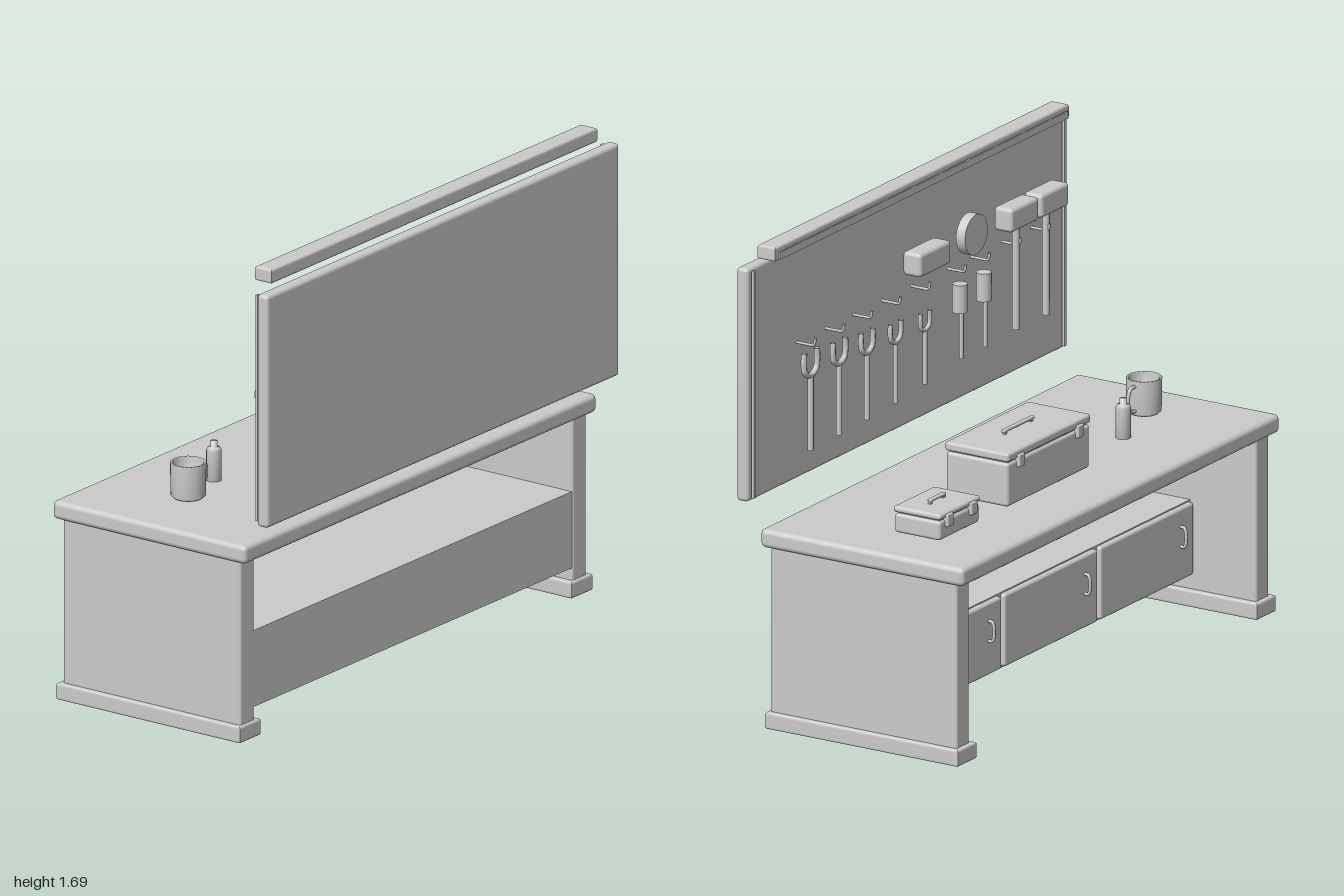
import * as THREE from 'three';
import { RoundedBoxGeometry } from 'three/addons/geometries/RoundedBoxGeometry.js';

const material = new THREE.MeshStandardMaterial({ color: 0xcccccc });
const twoSided = new THREE.MeshStandardMaterial({ color: 0xcccccc, side: THREE.DoubleSide });
const v = (x, y, z) => new THREE.Vector3(x, y, z);

// Rectangular outline with half width w and half depth d
const rect = (target, w, d) => {
  target.moveTo(-w, -d);
  target.lineTo(w, -d);
  target.lineTo(w, d);
  target.lineTo(-w, d);
  target.closePath();
  return target;
};

// Lying frame with softened edges: half width, half depth, height and wall thickness
const frameGeometry = (w, d, h, wall) => {
  const b = 0.008;
  const shape = rect(new THREE.Shape(), w - b, d - b);
  shape.holes.push(rect(new THREE.Path(), w - wall, d - wall));
  const geometry = new THREE.ExtrudeGeometry(shape, {
    depth: h - 2 * b, bevelThickness: b, bevelSize: b, bevelSegments: 3,
  });
  return geometry.rotateX(-Math.PI / 2).translate(0, b, 0);
};

export function createModel() {
  const model = new THREE.Group();

  const add = (parent, name, geometry, x = 0, y = 0, z = 0, mat = material) => {
    const mesh = new THREE.Mesh(geometry, mat);
    mesh.name = name;
    mesh.position.set(x, y, z);
    parent.add(mesh);
    return mesh;
  };
  const group = (name, x = 0, y = 0, z = 0) => {
    const g = new THREE.Group();
    g.name = name;
    g.position.set(x, y, z);
    model.add(g);
    return g;
  };
  // Box given by its limits on each axis, with optional rounded edges
  const box = (parent, name, [x0, x1], [y0, y1], [z0, z1], r = 0) => {
    const size = [x1 - x0, y1 - y0, z1 - z0];
    const geometry = r ? new RoundedBoxGeometry(...size, 2, r) : new THREE.BoxGeometry(...size);
    return add(parent, name, geometry, (x0 + x1) / 2, (y0 + y1) / 2, (z0 + z1) / 2);
  };
  const rod = (parent, name, points, r, segments = 20) =>
    add(parent, name, new THREE.TubeGeometry(new THREE.CatmullRomCurve3(points), segments, r, 8), 0, 0, 0, twoSided);
  const cylinder = (parent, name, r, y0, y1, z = 0, sides = 16) =>
    add(parent, name, new THREE.CylinderGeometry(r, r, y1 - y0, sides), 0, (y0 + y1) / 2, z);

  // Bench: top, side panels and hollow feet
  box(model, 'benchTop', [-1, 1], [0.647, 0.713], [-0.455, 0.362], 0.018);
  const footGeometry = frameGeometry(0.059, 0.388, 0.06, 0.035);
  for (const s of [-1, 1]) {
    const side = group(s > 0 ? 'leftSide' : 'rightSide', s * 0.942);
    box(side, 'sidePanel', [-0.041, 0.041], [0.03, 0.652], [-0.42, 0.33], 0.01);
    add(side, 'foot', footGeometry, s * -0.001, 0.003, -0.0475);
  }

  // Drawer cabinet between the sides, open below
  const cabinet = group('cabinet');
  box(cabinet, 'cabinetTop', [-0.906, 0.906], [0.371, 0.381], [-0.155, 0.327]);
  box(cabinet, 'cabinetFront', [-0.906, 0.906], [0.107, 0.376], [0.317, 0.327]);
  box(cabinet, 'drawerBacking', [-0.906, 0.906], [0.112, 0.376], [-0.155, -0.145]);
  for (let i = -1; i <= 1; i++) {
    const drawer = group('drawer', i * 0.604, 0.2465, -0.158);
    box(drawer, 'drawerFront', [-0.293, 0.293], [-0.13, 0.13], [-0.015, 0.015], 0.011);
    rod(drawer, 'drawerHandle', [
      v(-0.21, -0.005, -0.005), v(-0.21, -0.005, -0.03), v(-0.21, 0.062, -0.03), v(-0.21, 0.062, -0.005),
    ], 0.006);
  }

  // Tool board with an upright strip near each end
  box(model, 'toolBoard', [-1, 1], [0.797, 1.63], [0.41, 0.457], 0.014);
  for (const s of [-1, 1]) {
    box(model, 'boardStrip', [s * 0.977 - 0.007, s * 0.977 + 0.007], [0.81, 1.62], [0.395, 0.404]);
  }

  // Lamp bar above the board: hollow below, with a strip light inside
  const lamp = group('lampBar');
  add(lamp, 'lampFrame', frameGeometry(0.924, 0.035, 0.051, 0.012), 0, 1.646, 0.383);
  box(lamp, 'lampCover', [-0.915, 0.915], [1.682, 1.6965], [0.356, 0.41]);
  box(lamp, 'lampStrip', [-0.89, 0.89], [1.655, 1.684], [0.373, 0.393]);
  box(lamp, 'lampLip', [-0.905, 0.905], [1.652, 1.678], [0.338, 0.344]);

  // Row of hooks
  for (const x of [0.69, 0.51, 0.335, 0.155, -0.03, -0.255, -0.405, -0.6, -0.783]) {
    const hook = group('hook', x);
    rod(hook, 'hookWire', [v(0, 1.285, 0.412), v(0, 1.285, 0.365), v(0, 1.287, 0.342), v(0, 1.312, 0.335)], 0.005);
  }

  // Open-ended wrenches, getting smaller along the row
  [[0.69, 1.265, 0.91], [0.51, 1.253, 0.915], [0.335, 1.237, 0.92], [0.155, 1.217, 0.93], [-0.03, 1.202, 0.945]]
    .forEach(([x, top, bottom]) => {
      const wrench = group('wrench', x);
      const k = (top - bottom) / 0.355;
      const w = 0.042 * k;
      const jaw = [v(-w * 0.95, top, 0.355), v(-w, top - 0.04 * k, 0.355)];
      for (let a = 1; a < 6; a++) {
        const t = Math.PI * (1 + a / 6);
        jaw.push(v(Math.cos(t) * w, top - 0.05 * k + Math.sin(t) * w * 0.9, 0.355));
      }
      jaw.push(v(w, top - 0.04 * k, 0.355), v(w * 0.95, top, 0.355));
      rod(wrench, 'wrenchJaw', jaw, 0.011 * k, 28);
      cylinder(wrench, 'wrenchShaft', 0.011 * k, bottom, top - 0.085 * k, 0.355, 10);
    });

  // Screwdrivers
  for (const x of [-0.255, -0.405]) {
    const driver = group('screwdriver', x);
    cylinder(driver, 'screwdriverGrip', 0.027, 1.14, 1.24, 0.358, 10);
    cylinder(driver, 'screwdriverShaft', 0.008, 0.975, 1.15, 0.352, 8);
  }

  // Mallets
  for (const x of [-0.594, -0.783]) {
    const mallet = group('mallet', x);
    box(mallet, 'malletHead', [-0.087, 0.087], [1.355, 1.44], [0.311, 0.385], 0.014);
    cylinder(mallet, 'malletHandle', 0.013, 0.985, 1.365, 0.35, 10);
  }

  // Sanding block and tape roll
  box(model, 'sandingBlock', [-0.128, 0.067], [1.355, 1.44], [0.311, 0.385], 0.014);
  const roll = add(model, 'tapeRoll', new THREE.CylinderGeometry(0.072, 0.072, 0.036, 28), -0.317, 1.402, 0.35);
  roll.rotation.x = Math.PI / 2;

  // Tool cases with lid, latches and a straight carrying handle on two posts
  const toolCase = (name, x, z, w, d, y0, y1, lid, latch, grip) => {
    const g = group(name, x, 0, z);
    box(g, 'caseBody', [-w + 0.003, w - 0.003], [y0, y1 - lid - 0.004], [-d + 0.003, d - 0.003], 0.012);
    box(g, 'caseCore', [-w + 0.014, w - 0.014], [y0 + 0.01, y1 - 0.01], [-d + 0.012, d - 0.012]);
    box(g, 'caseLid', [-w, w], [y1 - lid, y1], [-d, d], 0.01);
    box(g, 'caseHandle', [-grip, grip], [y1 + 0.007, y1 + 0.018], [-0.008, 0.008], 0.004);
    for (const s of [-1, 1]) {
      box(g, 'latch', [s * latch - 0.018, s * latch + 0.018], [y1 - lid - 0.03, y1 - lid + 0.015], [-d - 0.01, -d + 0.012], 0.004);
      box(g, 'handlePost', [s * grip * 0.85 - 0.006, s * grip * 0.85 + 0.006], [y1 - 0.003, y1 + 0.01], [-0.005, 0.005]);
    }
  };
  toolCase('largeToolCase', 0.121, -0.115, 0.262, 0.128, 0.723, 0.915, 0.032, 0.185, 0.096);
  toolCase('smallToolCase', 0.685, -0.15, 0.129, 0.095, 0.723, 0.818, 0.022, 0.075, 0.048);

  // Mug with open inside
  const mug = group('mug', -0.728, 0.727, -0.08);
  const mugProfile = [[0, 0], [0.05, 0], [0.06, 0.01], [0.062, 0.125], [0.059, 0.128], [0.053, 0.125], [0.051, 0.012], [0, 0.011]];
  add(mug, 'mugCup', new THREE.LatheGeometry(mugProfile.map(p => new THREE.Vector2(...p)), 28), 0, 0, 0, twoSided);
  rod(mug, 'mugHandle', [
    v(0.055, 0.107, 0), v(0.085, 0.107, 0), v(0.1, 0.082, 0), v(0.098, 0.045, 0), v(0.08, 0.023, 0), v(0.055, 0.02, 0),
  ], 0.007);

  // Small bottle
  const bottleProfile = [[0, 0], [0.026, 0], [0.026, 0.108], [0.022, 0.117], [0.013, 0.119], [0.013, 0.14], [0, 0.14]];
  add(model, 'bottle', new THREE.LatheGeometry(bottleProfile.map(p => new THREE.Vector2(...p)), 20), -0.498, 0.713, -0.143);

  return model;
}
